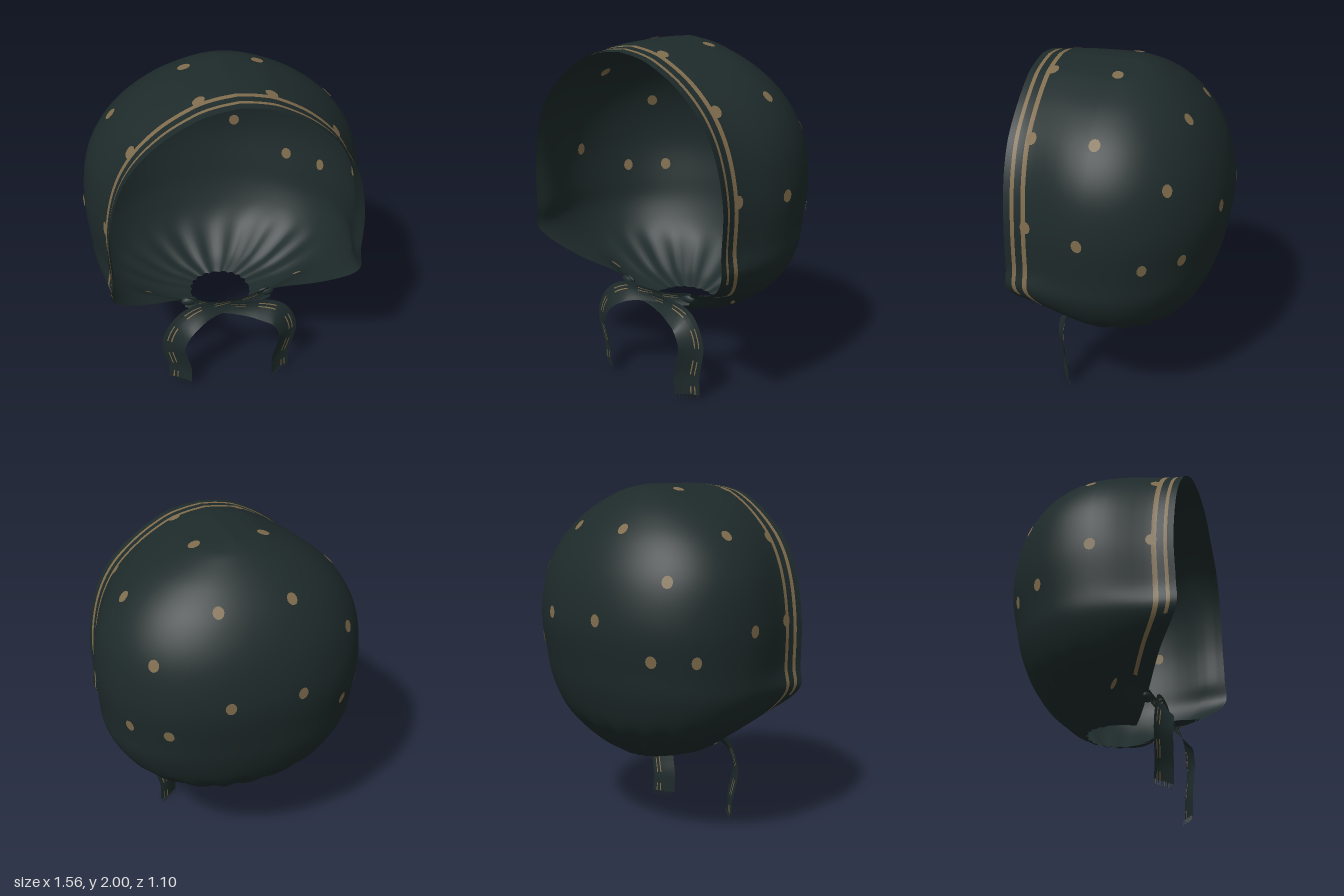
import * as THREE from 'three';
import { mergeVertices } from 'three/addons/utils/BufferGeometryUtils.js';

const cloth = new THREE.MeshStandardMaterial({ color: 0x1e2a2a, side: THREE.DoubleSide });
cloth.name = 'dark teal cloth';
const gold = new THREE.MeshStandardMaterial({ color: 0x7e6b4c, side: THREE.DoubleSide });
gold.name = 'dull gold print';
const { smoothstep: smooth, lerp } = THREE.MathUtils;

// Grid surface; cells picked by isGold(row, col) get the print colour
function gridMesh(name, rows, cols, point, isGold) {
  const pos = [], plain = [], print = [];
  for (let i = 0; i <= rows; i++) for (let j = 0; j <= cols; j++) pos.push(...point(i, j));
  for (let i = 0; i < rows; i++) for (let j = 0; j < cols; j++) {
    const a = i * (cols + 1) + j, b = a + cols + 1;
    (isGold(i, j) ? print : plain).push(a, b, a + 1, a + 1, b, b + 1);
  }
  let geo = new THREE.BufferGeometry();
  geo.setAttribute('position', new THREE.Float32BufferAttribute(pos, 3));
  geo.setIndex([...plain, ...print]);
  geo = mergeVertices(geo, 1e-5);
  geo.clearGroups();
  geo.addGroup(0, plain.length, 0);
  geo.addGroup(plain.length, print.length, 1);
  geo.computeVertexNormals();
  const mesh = new THREE.Mesh(geo, [cloth, gold]);
  mesh.name = name;
  return mesh;
}

// Horizontal sections: height, widest half width, half width at face edge, back z, front z, centre z
const SECTIONS = [
  [0.44, 0.18, 0.14, -0.14, 0.18, 0.03],
  [0.5, 0.37, 0.2, -0.24, 0.23, 0.05],
  [0.6, 0.54, 0.28, -0.35, 0.29, 0.07],
  [0.7, 0.65, 0.53, -0.42, 0.41, 0.09],
  [0.85, 0.735, 0.69, -0.48, 0.535, 0.1],
  [1.0, 0.755, 0.695, -0.515, 0.54, 0.1],
  [1.25, 0.775, 0.7, -0.55, 0.535, 0.1],
  [1.5, 0.74, 0.65, -0.51, 0.54, 0.1],
  [1.7, 0.63, 0.55, -0.415, 0.545, 0.1],
  [1.85, 0.46, 0.4, -0.285, 0.545, 0.1],
  [1.95, 0.26, 0.23, -0.15, 0.55, 0.1],
  [1.985, 0.13, 0.115, -0.07, 0.55, 0.1],
  [2.0, 0, 0, -0.02, 0.55, 0.1],
];
const curveOf = (k) => new THREE.CatmullRomCurve3(
  SECTIONS.map((s) => new THREE.Vector3(s[k], s[k + 1], s[k + 2])), false, 'catmullrom', 0.5);
const widthCurve = curveOf(0), depthCurve = curveOf(3);

// Distances back from the face edge; the second and fourth bands are the stripes
const BANDS = [0, 0.035, 0.056, 0.095, 0.122, 0.17, 0.23, 0.3, 0.37, 0.44];
const FRONT = BANDS.length - 1, BACK = 32, HALF = FRONT + BACK, ROWS = 72;

function shellPoint(i, j) {
  const side = j <= HALF ? 1 : -1;
  const c = side > 0 ? j : 2 * HALF - j;
  const { x: y, y: wide, z: edge } = widthCurve.getPoint(i / ROWS);
  const { x: zBack, y: zFront, z: zMid } = depthCurve.getPoint(i / ROWS);
  if (c <= FRONT) {
    // round cheek below, brim above drawn in then flared slightly at the hem
    const s = 1 - BANDS[c] / 0.44;
    const brim = smooth(y, 0.7, 1);
    const blend = lerp(1 - s * s, 1 - smooth(s, 0, 0.85), brim);
    const flare = (smooth(s, 0.85, 1) - smooth(s, 0.3, 0.85)) * 0.014 * wide * brim;
    const dip = 0.02 * smooth(s, 0.5, 1) * smooth(y, 1.5, 1.9);
    return [side * (edge + (wide - edge) * blend + flare), y - dip, zMid + (zFront - zMid) * s];
  }
  // rounded back, gathered into pleats near the neck
  const a = ((c - FRONT) / BACK) * Math.PI / 2;
  const pleat = 1 - 0.07 * (1 - smooth(y, 0.44, 0.75)) * Math.sin(10 * a) ** 2;
  const x = c === HALF ? 0 : wide * Math.cos(a) ** 0.93 * pleat;
  return [side * x, y, zMid + (zBack - zMid) * Math.sin(a) ** 0.93 * pleat];
}

// Plain facing just inside the brim, from one cheek over the top to the other
function liningPoint(side) {
  return (i, j) => {
    const [x, y, z] = shellPoint(i, side > 0 ? j : 2 * HALF - j);
    return [x * 0.988, 1.2 + (y - 1.2) * 0.99, z];
  };
}

// Printed spots on the model's left half, mirrored to the right: x, y, z, width
const SPOTS = [
  [0.2, 1.98, 0.05, 1], [0.59, 1.73, 0.05, 1], [0.77, 1.24, 0.1, 1], [0.21, 1.78, -0.34, 1],
  [0.57, 1.52, -0.32, 1], [0.205, 1.29, -0.53, 1], [0.49, 1.1, -0.39, 1], [0.69, 1.09, -0.22, 0.9],
  [0.19, 1.97, 0.415, 1], [0.57, 1.73, 0.415, 1], [0.7, 1.26, 0.415, 1], [0.46, 0.56, 0.14, 0.4],
];

function addSpots(group, shell) {
  const disc = new THREE.CircleGeometry(0.031, 12).scale(1, 1.15, 1);
  const ray = new THREE.Raycaster();
  shell.updateMatrixWorld(true);
  for (const side of [1, -1]) for (const [x, y, z, width] of SPOTS) {
    const target = new THREE.Vector3(side * x, y, z);
    const origin = new THREE.Vector3(0, 1.25, z * 0.9);
    ray.set(origin, target.sub(origin).normalize());
    const hit = ray.intersectObject(shell)[0];
    const normal = hit.face.normal.clone();
    if (normal.dot(ray.ray.direction) < 0) normal.negate();
    // one disc outside and, away from the brim, one inside the cloth
    for (const offset of z > 0.4 ? [0.004] : [0.004, -0.005]) {
      const spot = new THREE.Mesh(disc, gold);
      spot.name = 'spot';
      spot.scale.x = width;
      spot.position.copy(hit.point).addScaledVector(normal, offset);
      spot.lookAt(spot.position.clone().add(normal));
      group.add(spot);
    }
  }
}

// Ribbon tie crossing under the chin and hanging down, with a frayed end
function makeTie(name, side, drop, zShift, endY) {
  const tie = new THREE.Group();
  tie.name = name;
  const path = new THREE.CatmullRomCurve3([
    [-0.25, 0.57, 0.27], [-0.12, 0.55 - drop / 2, 0.3], [0.03, 0.545 - drop, 0.32],
    [0.18, 0.53 - drop, 0.345], [0.29, 0.46, 0.365], [0.345, 0.34, 0.367],
    [0.325, 0.22, 0.362], [0.308, 0.15, 0.358], [0.31, endY + 0.025, 0.355],
  ].map(([x, y, z]) => new THREE.Vector3(side * x, y, z + zShift)));
  const across = [-1, -0.6, -0.2, 0.15, 0.26, 0.5, 0.6, 1];
  const steps = 40;
  tie.add(gridMesh('ribbon', steps, across.length - 1, (i, j) => {
    const t = i / steps, p = path.getPointAt(t), d = path.getTangentAt(t);
    const n = new THREE.Vector3(-d.y, d.x, 0).normalize().multiplyScalar(side);
    const w = 0.036 + 0.026 * smooth(t, 0.2, 0.55);
    const tilt = 0.037 * smooth(t, 0.25, 0.55);
    const k = across[j];
    return [p.x + n.x * w * k, p.y + n.y * w * k, p.z + 0.012 * k * k - tilt * k - 0.004];
  }, (i, j) => (j === 3 || j === 5) && i % 7 > 2));
  for (let k = 0; k < 9; k++) {
    const thread = new THREE.Mesh(new THREE.BoxGeometry(0.004, 0.03, 0.004), cloth);
    thread.name = 'fringeThread';
    thread.position.set(side * (0.255 + k * 0.0135), endY + 0.015, 0.388 - k * 0.0085 + zShift);
    tie.add(thread);
  }
  return tie;
}

export function createModel() {
  const model = new THREE.Group();
  model.name = 'bonnet';
  // the outer stripe stops at the cheek, the inner one runs on towards the tie
  const isStripe = (i, j) => {
    const c = Math.min(j, 2 * HALF - 1 - j);
    return (c === 1 && i > 22) || (c === 3 && i > 12);
  };
  const shell = gridMesh('hood', ROWS, 2 * HALF, shellPoint, isStripe);
  model.add(shell);
  addSpots(model, shell);
  for (const side of [1, -1]) {
    model.add(gridMesh('brimLining', ROWS, 5, liningPoint(side), () => false));
    // small gathered knot where the tie is sewn on
    const knot = new THREE.Mesh(new THREE.SphereGeometry(0.04, 14, 10), cloth);
    knot.name = 'gatherKnot';
    knot.scale.set(1.2, 0.7, 0.6);
    knot.position.set(side * 0.23, 0.565, 0.262);
    model.add(knot);
  }
  model.add(makeTie('leftTie', 1, 0.03, 0, 0));
  model.add(makeTie('rightTie', -1, 0, 0.004, 0.03));
  return model;
}
